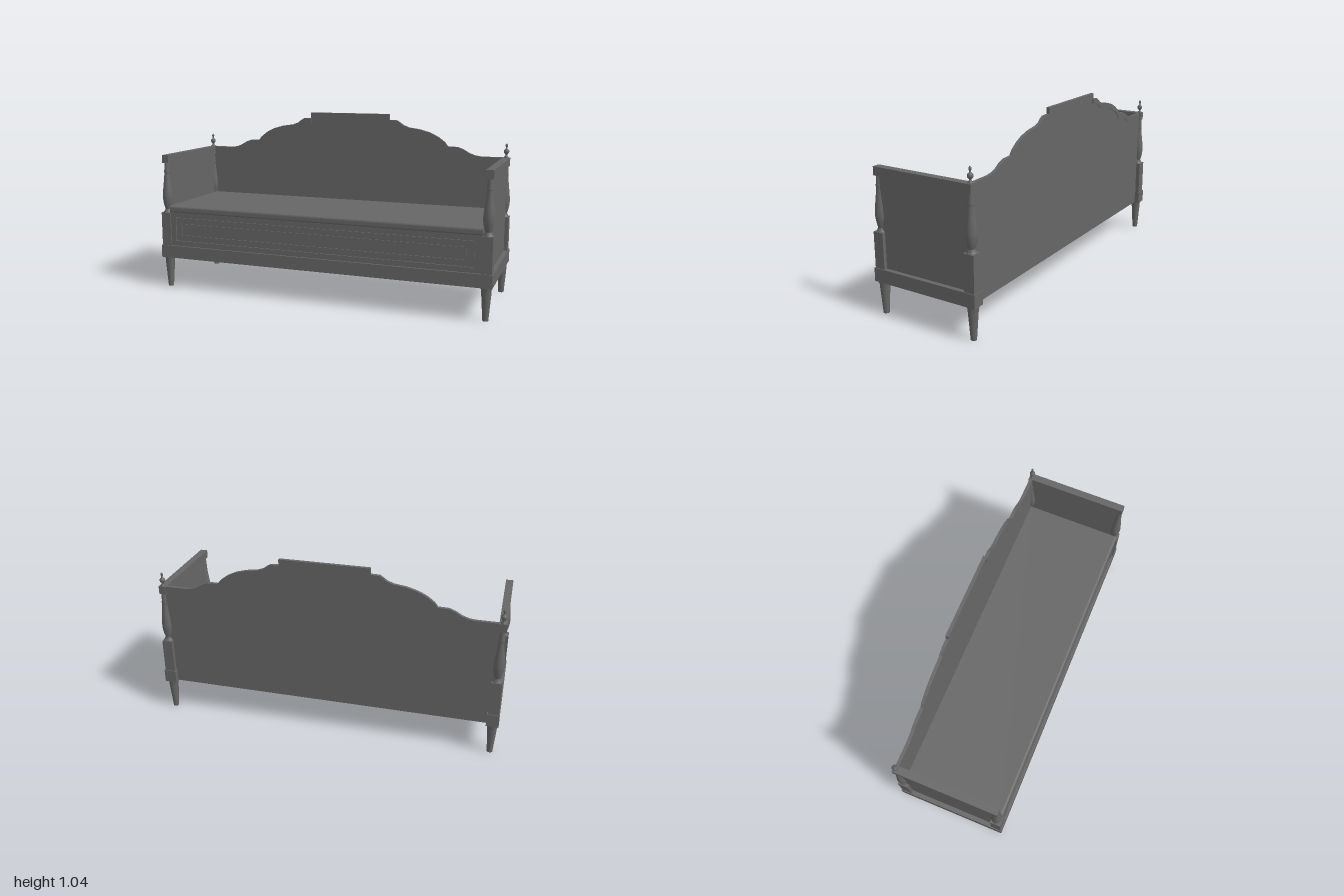
import * as THREE from 'three';

const wood = new THREE.MeshStandardMaterial({ color: 0x666666 });
wood.name = 'dark grey paint';

export function createModel() {
  const model = new THREE.Group();
  model.name = 'daybed';

  const add = (name, geometry, x = 0, y = 0, z = 0, parent = model) => {
    const mesh = new THREE.Mesh(geometry, wood);
    mesh.name = name;
    mesh.position.set(x, y, z);
    parent.add(mesh);
    return mesh;
  };
  // Box given by its limits on each axis
  const box = (name, [x0, x1], [y0, y1], [z0, z1], parent = model) =>
    add(name, new THREE.BoxGeometry(x1 - x0, y1 - y0, z1 - z0),
      (x0 + x1) / 2, (y0 + y1) / 2, (z0 + z1) / 2, parent);
  const lathe = (points) =>
    new THREE.LatheGeometry(points.map(([r, y]) => new THREE.Vector2(r, y)), 24);
  const extrude = (shape, depth) =>
    new THREE.ExtrudeGeometry(shape, { depth, bevelEnabled: false, curveSegments: 8 });
  const rect = (target, hw, y0, y1) =>
    target.moveTo(-hw, y0).lineTo(hw, y0).lineTo(hw, y1).lineTo(-hw, y1).closePath();

  // Turned profiles
  const legGeometry = lathe([[0, 0], [0.016, 0], [0.016, 0.003], [0.027, 0.15], [0.028, 0.172],
    [0.031, 0.175], [0.031, 0.187]]);
  const turning = new THREE.SplineCurve([[0.018, 0.482], [0.024, 0.505], [0.029, 0.535], [0.03, 0.56],
    [0.027, 0.6], [0.021, 0.65], [0.0165, 0.695]].map(([r, y]) => new THREE.Vector2(r, y)))
    .getPoints(24).map((p) => [p.x, p.y]);
  const postGeometry = lathe([[0.028, 0.458], [0.028, 0.464], [0.022, 0.468], [0.022, 0.474], [0.018, 0.478],
    ...turning, [0.0165, 0.702], [0.018, 0.704], [0.018, 0.71], [0.0165, 0.712], [0.014, 0.765]]);
  const finialGeometry = lathe([[0.013, 0.808], [0.013, 0.814], [0.006, 0.819], [0.007, 0.828], [0.013, 0.834],
    [0.0155, 0.84], [0.0155, 0.848], [0.012, 0.854], [0.006, 0.858], [0.004, 0.867], [0.007, 0.874],
    [0.0075, 0.88], [0.005, 0.886], [0, 0.892]]);

  // Corner posts
  for (const sx of [-1, 1]) {
    for (const sz of [-1, 1]) {
      const corner = new THREE.Group();
      corner.name = (sz > 0 ? 'front' : 'back') + (sx > 0 ? 'Left' : 'Right') + 'Post';
      corner.position.set(sx * 0.965, 0, sz * 0.285);
      model.add(corner);
      add('leg', legGeometry, 0, 0, 0, corner);
      box('baseBlock', [-0.035, 0.035], [0.185, 0.26], [-0.035, 0.035], corner);
      box('postBlock', [-0.03, 0.03], [0.26, 0.46], [-0.03, 0.03], corner);
      add('turnedPost', postGeometry, 0, 0, 0, corner);
      if (sz < 0) add('finial', finialGeometry, 0, 0, 0, corner);
    }
    // End of the bed: base rail, panel and arm rail
    const end = new THREE.Group();
    end.name = sx > 0 ? 'leftEnd' : 'rightEnd';
    end.position.x = sx * 0.965;
    model.add(end);
    box('baseRail', [-0.02, 0.02], [0.185, 0.26], [-0.26, 0.26], end).position.x = sx * 0.015;
    box('endPanel', [-0.01, 0.01], [0.255, 0.765], [-0.28, 0.28], end);
    box('armRail', [-0.021, 0.021], [0.76, 0.808], [-0.3, 0.302], end);
  }

  // Front rail, panel and mouldings
  box('frontRail', [-0.935, 0.935], [0.185, 0.26], [0.285, 0.32]);
  box('frontPanel', [-0.94, 0.94], [0.255, 0.465], [0.27, 0.3]);
  const border = rect(new THREE.Shape(), 0.94, 0.26, 0.465);
  border.holes.push(rect(new THREE.Path(), 0.902, 0.29, 0.436));
  add('frontBorder', extrude(border, 0.008), 0, 0, 0.3);
  const frame = rect(new THREE.Shape(), 0.898, 0.294, 0.432);
  frame.holes.push(rect(new THREE.Path(), 0.864, 0.326, 0.402));
  add('frontFrame', extrude(frame, 0.006), 0, 0, 0.3);
  add('frontField', extrude(rect(new THREE.Shape(), 0.858, 0.332, 0.396), 0.005), 0, 0, 0.3);

  // Bottom board and mattress with softened edges
  box('bottomBoard', [-0.95, 0.95], [0.215, 0.23], [-0.28, 0.29]);
  const section = new THREE.Shape();
  section.moveTo(-0.275, 0.46).lineTo(0.298, 0.46).quadraticCurveTo(0.31, 0.462, 0.31, 0.474)
    .lineTo(0.31, 0.49).quadraticCurveTo(0.309, 0.503, 0.296, 0.504).lineTo(-0.275, 0.504).closePath();
  const mattress = extrude(section, 1.88).rotateY(-Math.PI / 2);
  add('mattress', mattress, 0.94, 0, 0);

  // Shaped backrest: outline of one half, mirrored
  const half = [[0.955, 0.808], [0.82, 0.808], [0.785, 0.813], [0.75, 0.825], [0.715, 0.846], [0.68, 0.859],
    [0.62, 0.861], [0.602, 0.885], [0.56, 0.916], [0.51, 0.94], [0.45, 0.957], [0.38, 0.967],
    [0.345, 0.98], [0.325, 0.995], [0.305, 1.008], [0.255, 1.01], [0.255, 1.045]];
  const outline = [...half, ...half.map(([x, y]) => [-x, y]).reverse()];
  const toShape = (pts) => new THREE.Shape(pts.map(([x, y]) => new THREE.Vector2(x, y)));
  const lower = outline.map(([x, y]) => [x, y - 0.032]);
  add('backPanel', extrude(toShape([[-0.955, 0.187], [0.955, 0.187], ...lower]), 0.011), 0, 0, -0.2905);
  add('backTrim', extrude(toShape([...outline, ...lower.reverse()]), 0.019), 0, 0, -0.2945);

  return model;
}
